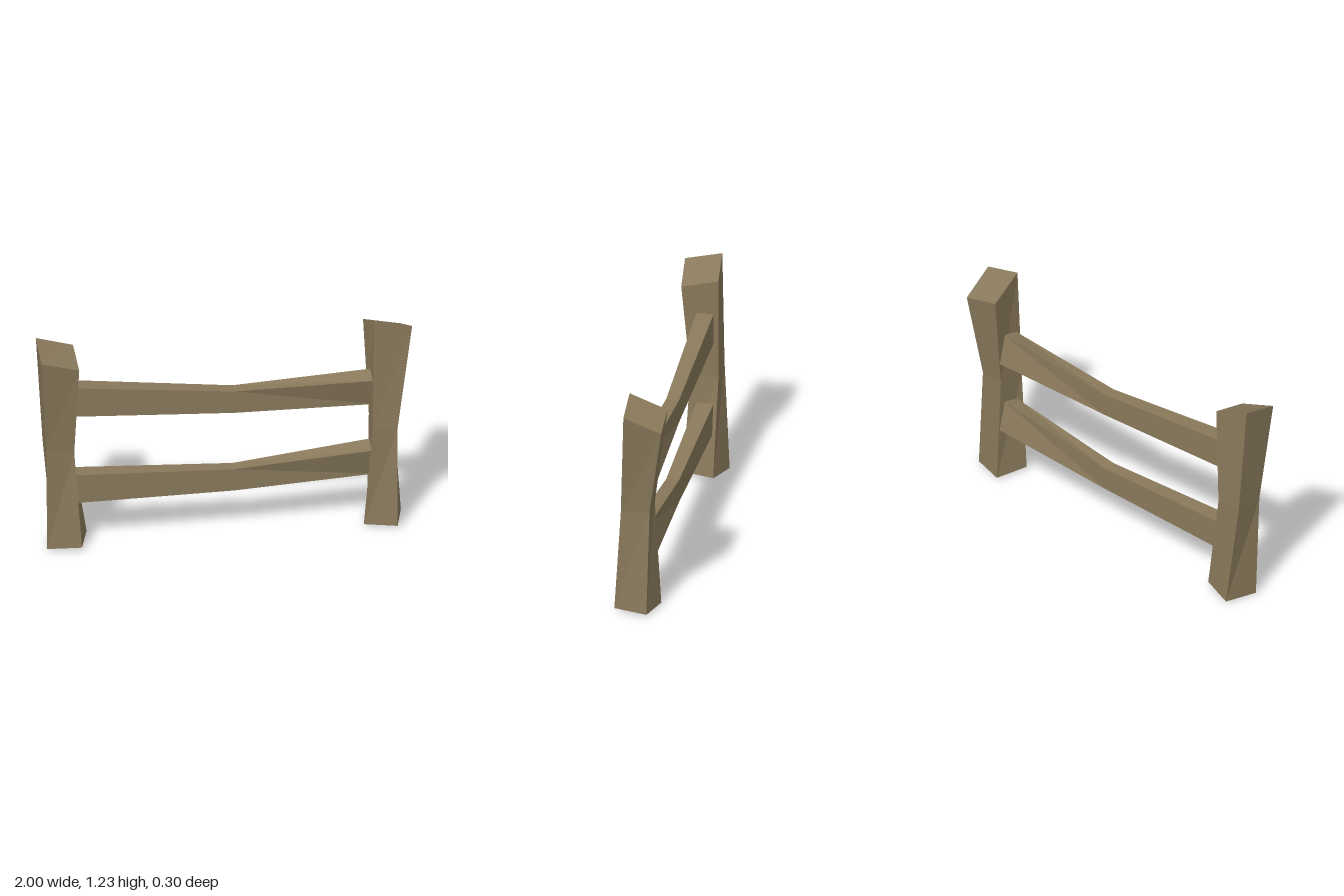
import * as THREE from 'three';

// Skin a stack of four-cornered sections; corners run counter-clockwise seen from the last section.
function loft(sections) {
  const pos = [];
  const quad = (a, b, c, d) => [a, b, c, a, c, d].forEach((p) => pos.push(...p));
  for (let s = 0; s < sections.length - 1; s++) {
    const lo = sections[s], hi = sections[s + 1];
    for (let i = 0; i < 4; i++) {
      const j = (i + 1) % 4;
      quad(lo[i], lo[j], hi[j], hi[i]);
    }
  }
  quad(...[...sections[0]].reverse());
  quad(...sections[sections.length - 1]);
  const geo = new THREE.BufferGeometry();
  geo.setAttribute('position', new THREE.Float32BufferAttribute(pos, 3));
  geo.computeVertexNormals();
  return geo;
}

// Rail section at x: corners as [y, z], front bottom, back bottom, back top, front top.
const railSection = (x, corners) => corners.map(([y, z]) => [x, y, z]);

export function createModel() {
  const group = new THREE.Group();
  const wood = new THREE.MeshStandardMaterial({ color: 0x8a7a5c });
  wood.name = 'weathered wood';

  const add = (name, sections) => {
    const mesh = new THREE.Mesh(loft(sections), wood);
    mesh.name = name;
    group.add(mesh);
  };

  // Posts: twisted, pinched at the middle, with slanted tops (front left, front right, back right, back left)
  add('rightPost', [
    [[-0.957, 0, 0.06], [-0.778, 0.02, 0.108], [-0.727, 0.023, -0.065], [-0.906, 0.004, -0.115]],
    [[-0.965, 0.6, 0.078], [-0.815, 0.58, 0.078], [-0.812, 0.58, -0.075], [-0.962, 0.6, -0.075]],
    [[-1, 1.165, 0.147], [-0.795, 1.097, 0.123], [-0.798, 1.145, -0.077], [-1, 1.215, -0.055]],
  ]);
  add('leftPost', [
    [[0.736, 0.013, 0.067], [0.91, 0.013, 0.113], [0.955, 0.013, -0.07], [0.781, 0.008, -0.113]],
    [[0.782, 0.58, 0.077], [0.915, 0.58, 0.077], [0.917, 0.6, -0.079], [0.785, 0.6, -0.079]],
    [[0.793, 1.225, 0.056], [0.998, 1.175, 0.045], [0.965, 1.087, -0.152], [0.764, 1.135, -0.143]],
  ]);

  // Rails: thinner in the middle, twisted towards the left post
  const rails = [
    ['upperRail', [0.778, 0.95], [0.716, 0.845], 0.696],
    ['lowerRail', [0.255, 0.424], [0.248, 0.376], 0.276],
  ];
  for (const [name, [b0, t0], [b1, t1], b2] of rails) {
    add(name, [
      railSection(-0.83, [[b0, 0.043], [b0, -0.05], [t0, -0.05], [t0, 0.043]]),
      railSection(0.05, [[b1, 0.02], [b1, -0.05], [t1, -0.05], [t1, 0.02]]),
      railSection(0.8, [[b2, 0], [b2 + 0.025, -0.092], [b2 + 0.188, -0.05], [b2 + 0.163, 0.042]]),
    ]);
  }
  return group;
}
